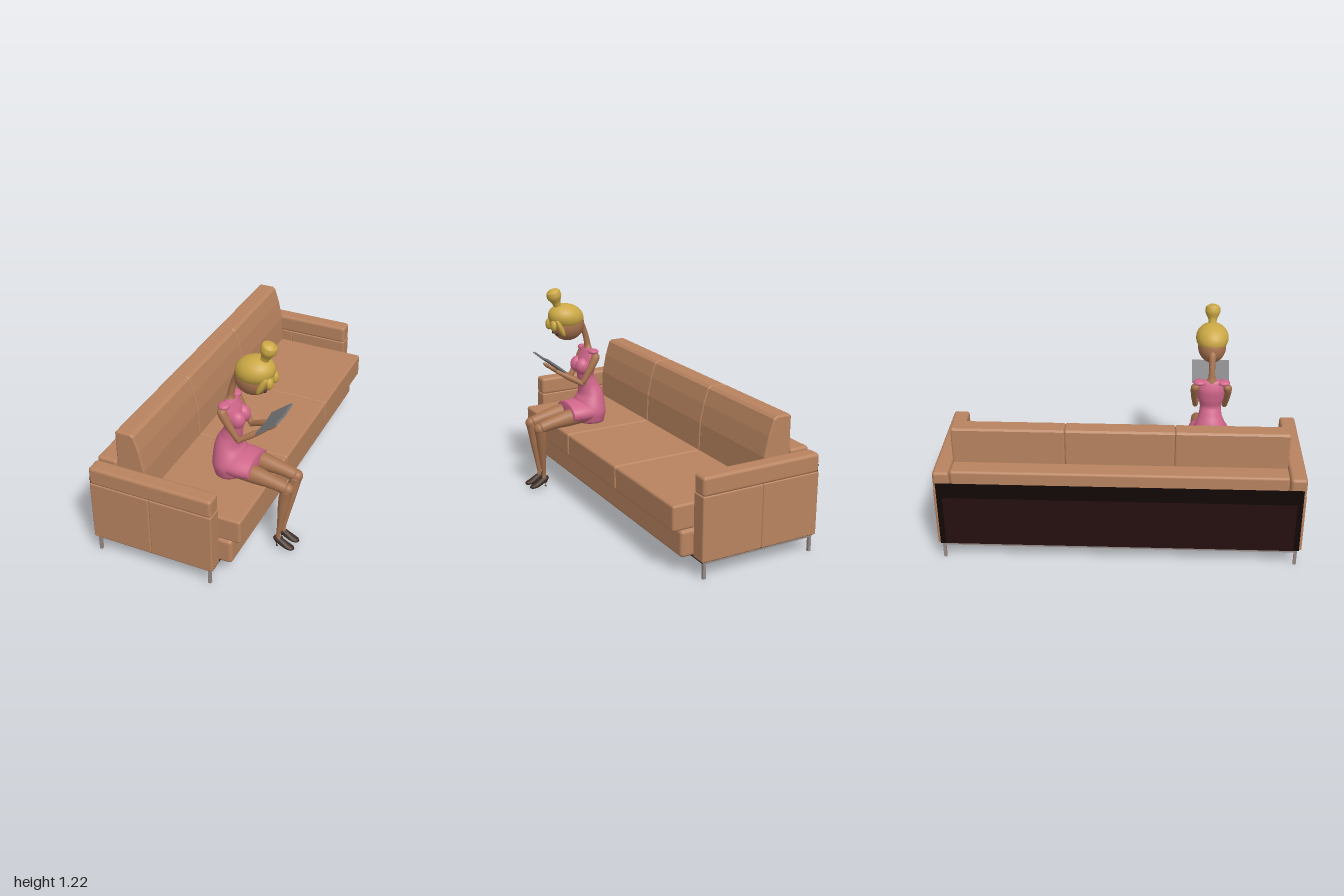
import * as THREE from 'three';
import { RoundedBoxGeometry } from 'three/addons/geometries/RoundedBoxGeometry.js';

const material = (name, color, side = THREE.FrontSide) => {
  const m = new THREE.MeshStandardMaterial({ color, side });
  m.name = name;
  return m;
};

const leather = material('tan leather', 0xb8835f);
const skin = material('skin', 0xa8734f);
const pink = material('pink cloth', 0xd0668a);
const blond = material('blond hair', 0xcba845);
const shoeBrown = material('dark brown', 0x3f2d25);
const metal = material('metal', 0x968c88);
const cover = material('grey cover', 0x77777a);
const maroon = material('dark maroon', 0x260e10);
const lining = material('dark lining', 0x2a2320, THREE.DoubleSide);
const black = material('near black', 0x120607, THREE.DoubleSide);

function add(parent, name, geometry, mat) {
  const mesh = new THREE.Mesh(geometry, mat);
  mesh.name = name;
  parent.add(mesh);
  return mesh;
}

// Box given by its limits on each axis, with optional rounding
function block(parent, name, mat, [x0, x1], [y0, y1], [z0, z1], r = 0) {
  const size = [x1 - x0, y1 - y0, z1 - z0];
  const geo = r ? new RoundedBoxGeometry(...size, 3, r) : new THREE.BoxGeometry(...size);
  add(parent, name, geo, mat).position.set((x0 + x1) / 2, (y0 + y1) / 2, (z0 + z1) / 2);
}

function ellipsoid(parent, name, mat, pos, radii, tilt = 0) {
  const mesh = add(parent, name, new THREE.SphereGeometry(1, 28, 20), mat);
  mesh.position.set(...pos);
  mesh.scale.set(...radii);
  mesh.rotation.z = tilt;
  return mesh;
}

// Smooth closed body through rings [x, y, z, radius in the xy plane, radius along z]
function loft(parent, name, mat, rings, steps = 24, sides = 24) {
  const centres = new THREE.CatmullRomCurve3(rings.map(r => new THREE.Vector3(r[0], r[1], r[2])));
  const radii = new THREE.CatmullRomCurve3(rings.map(r => new THREE.Vector3(r[3], r[4] ?? r[3], 0)));
  const pos = [], index = [];
  for (let i = -1; i <= steps + 1; i++) {
    const t = Math.min(Math.max(i / steps, 0), 1);
    const c = centres.getPoint(t), d = centres.getTangent(t), r = radii.getPoint(t);
    const len = Math.hypot(d.x, d.y) || 1;
    const k = i < 0 || i > steps ? 0 : 1;
    for (let j = 0; j < sides; j++) {
      const a = j / sides * Math.PI * 2;
      const u = k * r.x * Math.cos(a) / len;
      pos.push(c.x + d.y * u, c.y - d.x * u, c.z + k * r.y * Math.sin(a));
    }
  }
  for (let i = 0; i < steps + 2; i++) {
    for (let j = 0; j < sides; j++) {
      const a = i * sides + j, b = i * sides + (j + 1) % sides;
      index.push(a, a + sides, b, b, a + sides, b + sides);
    }
  }
  const geo = new THREE.BufferGeometry();
  geo.setAttribute('position', new THREE.Float32BufferAttribute(pos, 3));
  geo.setIndex(index);
  geo.computeVertexNormals();
  return add(parent, name, geo, mat);
}

function buildSofa() {
  const sofa = new THREE.Group();
  sofa.name = 'sofa';
  block(sofa, 'seatBase', leather, [-0.47, 0.275], [0.102, 0.25], [-0.905, 0.905], 0.02);
  block(sofa, 'backFrame', leather, [-0.49, -0.375], [0.102, 0.565], [-0.905, 0.905], 0.015);

  // Back cushion profile, sloping towards the seat
  const profile = new THREE.Shape([[-0.37, 0.38], [-0.205, 0.38], [-0.212, 0.55], [-0.235, 0.66],
    [-0.262, 0.745], [-0.28, 0.758], [-0.36, 0.758], [-0.37, 0.748]].map(p => new THREE.Vector2(...p)));
  const b = 0.01;
  [-0.905, -0.295, 0.295].forEach((z, i) => {
    const w = i === 1 ? 0.59 : 0.61;
    block(sofa, 'seatCushion', leather, [-0.37, 0.325], [0.255, 0.395], [z, z + w], 0.014);
    const geo = new THREE.ExtrudeGeometry(profile, { depth: w - 2 * b, bevelSize: b, bevelThickness: b,
      bevelOffset: -b, bevelSegments: 3 });
    add(sofa, 'backCushion', geo, leather).position.z = z + b;
  });

  for (const s of [-1, 1]) {
    const z = s > 0 ? [0.91, 1] : [-1, -0.91];
    // Armrest: two side panels under a rounded pad
    block(sofa, 'armPanelRear', leather, [-0.49, -0.145], [0.102, 0.455], z, 0.008);
    block(sofa, 'armPanelFront', leather, [-0.145, 0.21], [0.102, 0.455], z, 0.008);
    block(sofa, 'armPad', leather, [-0.49, 0.21], [0.45, 0.555], z, 0.018);
    block(sofa, 'frameSideBar', metal, [-0.48, 0.19], [0.082, 0.1], [s * 0.97 - 0.008, s * 0.97 + 0.008]);
    for (const x of [-0.472, 0.182]) {
      block(sofa, 'leg', metal, [x - 0.008, x + 0.008], [0, 0.1], [s * 0.97 - 0.008, s * 0.97 + 0.008]);
    }
    block(sofa, 'backEdgeStrip', black, [-0.494, -0.48], [0.102, 0.49], s > 0 ? [0.955, 0.985] : [-0.985, -0.955]);
  }
  for (const x of [-0.472, 0.182]) {
    block(sofa, 'frameLongBar', metal, [x - 0.008, x + 0.008], [0.082, 0.1], [-0.97, 0.97]);
  }

  // Dark rear panel and lining under the seat
  block(sofa, 'backPanel', maroon, [-0.494, -0.488], [0.102, 0.4], [-0.955, 0.955]);
  block(sofa, 'backPanelTop', black, [-0.494, -0.488], [0.4, 0.49], [-0.955, 0.955]);
  block(sofa, 'undersideLining', lining, [-0.485, 0.205], [0.096, 0.103], [-0.985, 0.985]);
  const patch = new THREE.Shape();
  patch.moveTo(-0.46, 0.77);
  patch.splineThru([[-0.3, 0.74], [-0.12, 0.64], [0.0, 0.4], [0.02, 0.15], [0.03, -0.5], [-0.08, -0.75],
    [-0.22, -0.87], [-0.4, -0.88], [-0.46, -0.8]].map(p => new THREE.Vector2(...p)));
  add(sofa, 'undersidePatch', new THREE.ShapeGeometry(patch, 5).rotateX(Math.PI / 2), black).position.y = 0.094;
  return sofa;
}

function buildWoman() {
  const woman = new THREE.Group();
  woman.name = 'seatedWoman';
  woman.position.z = 0.5;

  // Dress
  loft(woman, 'dressBody', pink, [[0.09, 0.395, 0, 0.09, 0.11], [0.09, 0.46, 0, 0.1, 0.125],
    [0.078, 0.555, 0, 0.077, 0.093], [0.093, 0.62, 0, 0.057, 0.067], [0.107, 0.675, 0, 0.047, 0.06],
    [0.105, 0.735, 0, 0.054, 0.075], [0.093, 0.79, 0, 0.047, 0.078], [0.09, 0.835, 0, 0.028, 0.065],
    [0.09, 0.845, 0, 0.02, 0.045]], 40, 32);
  loft(woman, 'skirt', pink, [[0.07, 0.46, 0, 0.07, 0.12], [0.16, 0.46, 0, 0.068, 0.126],
    [0.242, 0.457, 0, 0.064, 0.116]], 14, 32);

  // Neck and head, bent forward
  loft(woman, 'neck', skin, [[0.088, 0.82, 0, 0.03, 0.045], [0.09, 0.865, 0, 0.019], [0.104, 0.93, 0, 0.017],
    [0.128, 0.98, 0, 0.023], [0.17, 1.02, 0, 0.035]]);
  ellipsoid(woman, 'head', skin, [0.215, 1.0, 0], [0.1, 0.096, 0.08]);
  ellipsoid(woman, 'hair', blond, [0.227, 1.047, 0], [0.107, 0.077, 0.092], 0.15);
  ellipsoid(woman, 'fringe', blond, [0.3, 1.02, 0], [0.028, 0.035, 0.068], 0.2);
  loft(woman, 'hairBun', blond, [[0.27, 1.1, 0, 0.02], [0.285, 1.135, 0, 0.025], [0.298, 1.175, 0, 0.043],
    [0.304, 1.2, 0, 0.04], [0.308, 1.212, 0, 0.022], [0.309, 1.217, 0, 0.004]]);

  for (const s of [-1, 1]) {
    ellipsoid(woman, 'sideLock', blond, [0.287, 0.992, s * 0.06], [0.016, 0.055, 0.016], -0.45);
    ellipsoid(woman, 'curl', blond, [0.322, 1.005, s * 0.035], [0.017, 0.032, 0.026]);
    ellipsoid(woman, 'eye', shoeBrown, [0.296, 0.953, s * 0.03], [0.007, 0.008, 0.012], -0.5);
    ellipsoid(woman, 'bust', pink, [0.137, 0.74, s * 0.035], [0.048, 0.05, 0.04]);
    ellipsoid(woman, 'shoulderStrap', pink, [0.085, 0.832, s * 0.068], [0.032, 0.016, 0.036]);

    // Arms reaching to the book
    loft(woman, 'upperArm', skin, [[0.074, 0.826, s * 0.082, 0.012], [0.08, 0.805, s * 0.09, 0.025],
      [0.12, 0.73, s * 0.092, 0.02], [0.168, 0.65, s * 0.085, 0.015]], 16, 16);
    ellipsoid(woman, 'elbow', skin, [0.17, 0.65, s * 0.084], [0.017, 0.017, 0.016]);
    loft(woman, 'forearm', skin, [[0.17, 0.65, s * 0.084, 0.015], [0.23, 0.685, s * 0.062, 0.017],
      [0.315, 0.735, s * 0.035, 0.01]], 16, 16);
    ellipsoid(woman, 'hand', skin, [0.335, 0.752, s * 0.035], [0.035, 0.012, 0.018], 0.66);
  }

  // Legs, the right foot drawn in towards the left
  for (const [z, ankle] of [[0.065, 0.072], [-0.062, 0]]) {
    loft(woman, 'thigh', skin, [[0.1, 0.455, z, 0.05], [0.25, 0.442, z, 0.049, 0.046],
      [0.36, 0.426, z, 0.037, 0.038], [0.44, 0.407, z, 0.033]], 18, 20);
    ellipsoid(woman, 'knee', skin, [0.44, 0.405, z], [0.035, 0.035, 0.033]);
    const at = t => z + (ankle - z) * t;
    loft(woman, 'shin', skin, [[0.44, 0.405, z, 0.033], [0.428, 0.35, at(0.15), 0.033, 0.03],
      [0.419, 0.28, at(0.4), 0.029, 0.027], [0.404, 0.15, at(0.8), 0.016], [0.396, 0.08, ankle, 0.012],
      [0.4, 0.05, ankle, 0.014]], 24, 20);
    loft(woman, 'shoe', shoeBrown, [[0.37, 0.068, ankle, 0.008], [0.386, 0.06, ankle, 0.018],
      [0.412, 0.045, ankle, 0.02], [0.45, 0.026, ankle, 0.016, 0.023], [0.478, 0.019, ankle, 0.011, 0.018],
      [0.489, 0.017, ankle, 0.003]], 20, 18);
    loft(woman, 'shoeHeel', shoeBrown, [[0.388, 0.008, ankle, 0.006], [0.384, 0.035, ankle, 0.006],
      [0.379, 0.062, ankle, 0.012]], 8, 12);
  }

  // Open book, its two halves slightly folded
  const book = new THREE.Group();
  book.name = 'book';
  book.position.set(0.338, 0.776, 0.005);
  book.rotation.z = 0.67;
  for (const s of [-1, 1]) {
    const half = new THREE.Group();
    half.name = 'bookHalf';
    half.rotation.x = -s * 0.06;
    block(half, 'bookCover', cover, [-0.073, 0.073], [-0.005, 0.001], s > 0 ? [0.001, 0.108] : [-0.108, -0.001]);
    block(half, 'bookPages', cover, [-0.069, 0.069], [0.001, 0.006], s > 0 ? [0.001, 0.103] : [-0.103, -0.001]);
    book.add(half);
  }
  woman.add(book);
  return woman;
}

export function createModel() {
  const model = new THREE.Group();
  model.name = 'womanReadingOnSofa';
  model.add(buildSofa(), buildWoman());
  return model;
}
